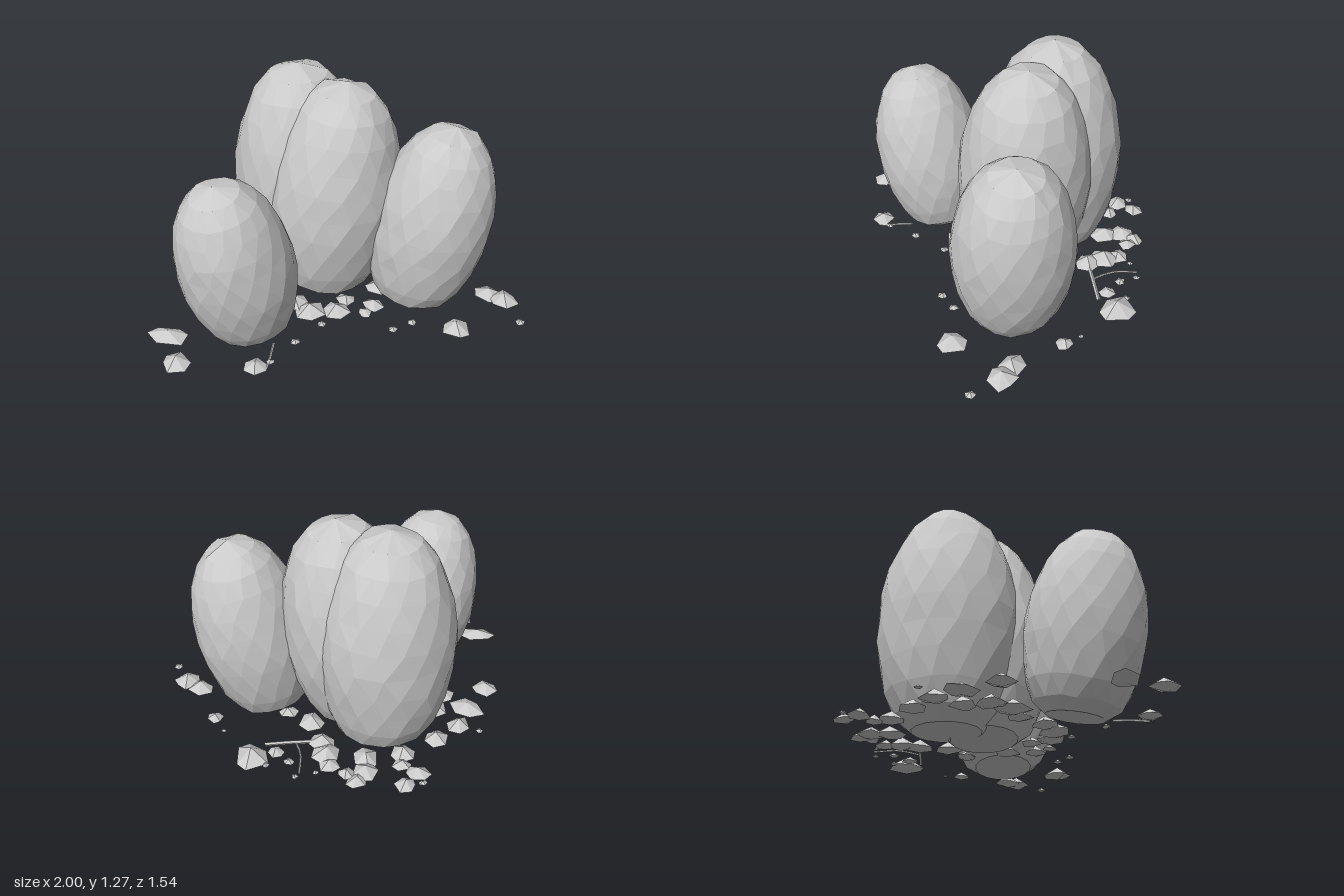
import * as THREE from 'three';

const stone = new THREE.MeshStandardMaterial({ color: 0xcacaca, flatShading: true });
stone.name = 'stone grey';

function seeded(seed) {
  return () => {
    seed = (seed * 16807) % 2147483647;
    return seed / 2147483647;
  };
}

// Closed loft: ringPoint(i, j) gives the j-th corner of the i-th ring, from bottom to top
function loft(rings, sides, ringPoint) {
  const pos = [], index = [];
  for (let i = 0; i < rings; i++)
    for (let j = 0; j < sides; j++) pos.push(...ringPoint(i, j));
  for (let i = 0; i < rings - 1; i++)
    for (let j = 0; j < sides; j++) {
      const k = (j + 1) % sides;
      const a = i * sides + j, b = i * sides + k, c = a + sides, d = b + sides;
      if (i % 2) index.push(a, c, d, a, d, b);
      else index.push(a, c, b, b, c, d);
    }
  const g = new THREE.BufferGeometry();
  g.setAttribute('position', new THREE.Float32BufferAttribute(pos, 3));
  g.setIndex(index);
  const flat = g.toNonIndexed();
  flat.computeVertexNormals();
  return flat;
}

// Egg profile as [height share, radius share], with a flat cut base
const PROFILE = [
  [0, 0], [0, 0.49], [0.055, 0.72], [0.15, 0.86], [0.26, 0.95], [0.37, 1], [0.48, 1.01],
  [0.59, 0.98], [0.69, 0.91], [0.79, 0.8], [0.88, 0.65], [0.955, 0.42], [1, 0],
];

// Egg standing from base to top, its rings twisted to and fro to give zigzag columns
function makeEgg(name, base, top, radius, seed) {
  const rnd = seeded(seed), sides = 16;
  const from = new THREE.Vector3(...base);
  const axis = new THREE.Vector3(...top).sub(from);
  const height = axis.length();
  const geo = loft(PROFILE.length, sides, (i, j) => {
    const [t, share] = PROFILE[i];
    const inner = i > 1 && i < PROFILE.length - 1;
    const twist = inner ? (i % 2 ? 0.2 : -0.2) : 0;
    const a = ((j + twist + (inner ? (rnd() - 0.5) * 0.2 : 0)) / sides) * Math.PI * 2;
    const r = radius * share * (inner ? 0.99 + rnd() * 0.025 : 1);
    const y = height * (t + (inner ? (rnd() - 0.5) * 0.012 : 0));
    return [Math.cos(a) * r, y, Math.sin(a) * r];
  });
  const egg = new THREE.Mesh(geo, stone);
  egg.name = name;
  egg.position.copy(from);
  egg.quaternion.setFromUnitVectors(new THREE.Vector3(0, 1, 0), axis.normalize());
  return egg;
}

// Low, irregular double pyramid
function makePebble(x, z, r, rnd) {
  const sides = r < 0.04 ? 5 : 6;
  const turn = rnd() * 6;
  const ring = [-0.32, 0, 0.6];
  const geo = loft(3, sides, (i, j) => {
    if (i !== 1) return [0, ring[i] * r, 0];
    const a = turn + ((j + (rnd() - 0.5) * 0.4) / sides) * Math.PI * 2;
    const rr = r * (0.8 + rnd() * 0.3);
    return [Math.cos(a) * rr, (rnd() - 0.5) * r * 0.15, Math.sin(a) * rr];
  });
  const pebble = new THREE.Mesh(geo, stone);
  pebble.name = 'pebble';
  pebble.position.set(x, 0.05 + rnd() * 0.015, z);
  return pebble;
}

// Longer, flatter stone turned about the vertical
function makeSlab(x, z, r, turn, rnd) {
  const slab = makePebble(x, z, r, rnd);
  slab.name = 'flatStone';
  slab.scale.set(1.35, 0.7, 0.9);
  slab.rotation.y = turn;
  return slab;
}

function makeTwig(points, radius) {
  const curve = new THREE.CatmullRomCurve3(points.map((p) => new THREE.Vector3(...p)));
  const twig = new THREE.Mesh(new THREE.TubeGeometry(curve, 4, radius, 5), stone);
  twig.name = 'twig';
  return twig;
}

// Pebble groups as [x, z, radius]
const RIGHT_PEBBLES = [
  [-0.85, 0.61, 0.075], [-0.73, -0.1, 0.07], [-0.46, 0.71, 0.063], [-0.38, 0.69, 0.022],
  [-0.56, -0.44, 0.022], [-0.47, -0.35, 0.08], [-0.47, -0.08, 0.08], [-0.41, 0.04, 0.09],
  [-0.24, 0.57, 0.03], [-0.2, 0.26, 0.08],
];
const BACK_PEBBLES = [
  [-0.13, -0.65, 0.07], [-0.04, -0.715, 0.06], [-0.13, -0.73, 0.025], [-0.07, -0.57, 0.06],
  [0.13, -0.56, 0.075], [0.19, -0.61, 0.06], [0.23, -0.55, 0.055], [0.29, -0.38, 0.085],
  [0.3, -0.46, 0.06], [0.38, -0.5, 0.02], [0.49, -0.49, 0.022], [0.5, -0.39, 0.032],
  [0.55, -0.29, 0.045], [0.62, -0.37, 0.025], [0.68, -0.285, 0.105], [0.29, -0.28, 0.08],
];
const FRONT_PEBBLES = [
  [0.79, -0.04, 0.016], [0.82, 0.06, 0.05], [0.86, 0.36, 0.08], [0.925, 0.43, 0.08],
  [0.96, 0.6, 0.03], [0.61, 0.59, 0.08], [0.28, 0.55, 0.028], [0.39, 0.52, 0.028],
  [-0.08, 0.44, 0.028], [0.16, 0.4, 0.04], [0.01, 0.36, 0.08], [-0.13, 0.33, 0.09],
  [0.22, 0.34, 0.065], [0.42, 0.0, 0.06],
];
const SHELTERED_PEBBLES = [
  [-0.38, -0.2, 0.08], [-0.31, -0.42, 0.08], [-0.1, -0.49, 0.08], [0.1, -0.47, 0.08],
  [-0.3, 0.1, 0.07], [0.31, -0.12, 0.08], [0.27, 0.2, 0.07], [0.08, 0.28, 0.06],
];

export function createModel() {
  const model = new THREE.Group();
  model.name = 'eggStoneCluster';

  // Four tall eggs
  model.add(
    makeEgg('backEgg', [-0.07, 0.03, -0.21], [-0.1, 1.27, -0.21], 0.365, 11),
    makeEgg('middleEgg', [0.0, 0.03, 0.0], [0.125, 1.25, 0.01], 0.355, 23),
    makeEgg('leftEgg', [0.455, 0.03, 0.22], [0.64, 1.075, 0.25], 0.315, 37),
    makeEgg('rightEgg', [-0.43, 0.03, 0.34], [-0.6, 0.97, 0.44], 0.298, 53),
  );

  // Loose stones around the bases
  const rnd = seeded(91);
  const groups = {
    rightPebbles: RIGHT_PEBBLES, backPebbles: BACK_PEBBLES,
    frontPebbles: FRONT_PEBBLES, shelteredPebbles: SHELTERED_PEBBLES,
  };
  for (const [name, list] of Object.entries(groups)) {
    const group = new THREE.Group();
    group.name = name;
    for (const [x, z, r] of list) group.add(makePebble(x, z, r, rnd));
    model.add(group);
  }
  model.add(makeSlab(-0.885, 0.41, 0.09, -0.3, rnd), makeSlab(-0.56, -0.24, 0.09, -0.8, rnd));

  // Twigs
  model.add(
    makeTwig([[0.3, 0.06, -0.28], [0.45, 0.065, -0.25], [0.595, 0.06, -0.22]], 0.011),
    makeTwig([[0.43, 0.06, -0.26], [0.43, 0.075, -0.37], [0.47, 0.07, -0.5]], 0.006),
    makeTwig([[-0.41, 0.05, 0.73], [-0.38, 0.06, 0.66], [-0.35, 0.06, 0.56]], 0.007),
  );
  return model;
}
